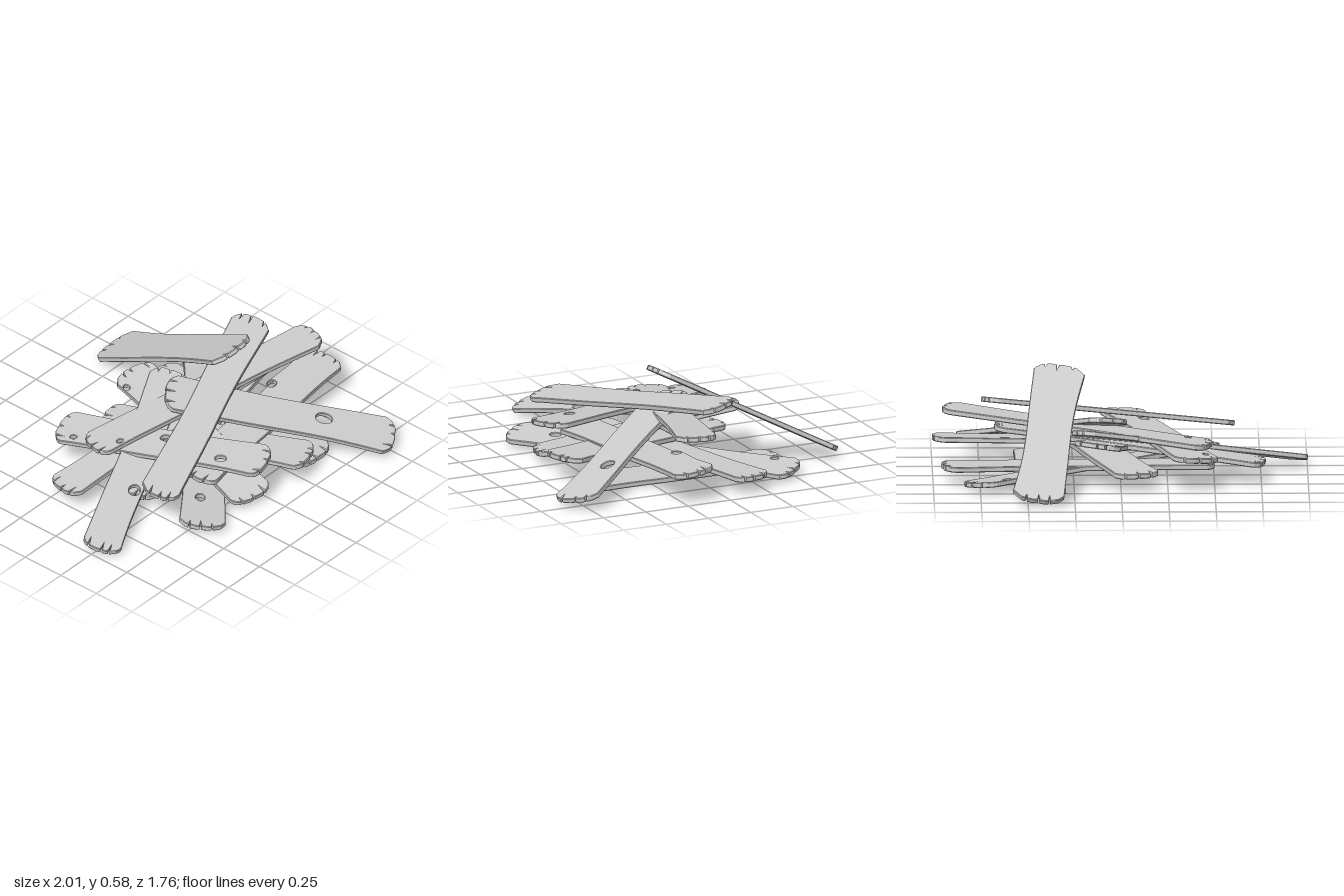
import * as THREE from 'three';

const THICK = 0.028;

// Small seeded generator for the hand-cut irregularities
function seeded(seed) {
  let s = seed * 7919 + 17;
  return () => (s = (s * 16807) % 2147483647) / 2147483647;
}

// Plank outline: wavy long edges, rounded ends split by narrow cracks
function plankShape(length, width, rand) {
  const points = [];
  const half = length / 2;
  const phase = rand() * 6;
  const edge = (u, side) => side * (width / 2) *
    (0.88 + 0.12 * Math.pow(Math.abs(u / half), 3) + 0.035 * Math.sin(u * 7 + phase + side));
  for (const dir of [1, -1]) {
    // long edge
    for (let i = 0; i <= 16; i++) {
      const u = dir * (half - 0.06) * (-1 + i / 8);
      points.push(new THREE.Vector2(u, edge(u, -dir)));
    }
    // end with cracks
    const tip = (k) => half - 0.06 * Math.pow(Math.abs(k), 4);
    const h = Math.abs(edge(half - 0.06, 1));
    const add = (k, inset) =>
      points.push(new THREE.Vector2(dir * (tip(k) - inset), dir * k * h));
    add(-0.93, 0);
    for (const c of [-0.55, 0, 0.52]) {
      const k = c + (rand() - 0.5) * 0.2;
      const depth = 0.025 + rand() * 0.035;
      add(k - 0.2, 0);
      add(k - 0.04, 0.003);
      add(k + (rand() - 0.5) * 0.08, depth);
      add(k + 0.04, 0.003);
    }
    add(0.8, 0);
    add(0.93, 0);
  }
  return new THREE.Shape(points);
}

// Plank laid between two end points; holes are [x, z, radius] seen from above
function makePlank({ name, a, b, w, roll = 0, holes = [] }, index) {
  const A = new THREE.Vector3(...a);
  const B = new THREE.Vector3(...b);
  const along = B.clone().sub(A);
  const length = along.length();
  along.normalize();
  const across = new THREE.Vector3(0, 1, 0).cross(along).normalize()
    .applyAxisAngle(along, roll);
  const normal = along.clone().cross(across);

  const shape = plankShape(length, w, seeded(index + 1));
  const middle = A.clone().add(B).multiplyScalar(0.5);
  const flat = new THREE.Vector2(along.x, along.z);
  const run = flat.length();
  flat.normalize();
  for (const [x, z, r] of holes) {
    const dx = x - middle.x;
    const dz = z - middle.z;
    const u = (dx * flat.x + dz * flat.y) / run;
    const v = dx * flat.y - dz * flat.x;
    const hole = new THREE.Path();
    hole.absellipse(u, v, r * 1.25, r, 0, Math.PI * 2, true);
    shape.holes.push(hole);
  }

  const geometry = new THREE.ExtrudeGeometry(shape, {
    depth: THICK - 0.008, bevelEnabled: true, bevelThickness: 0.004,
    bevelSize: 0.003, bevelOffset: -0.003, bevelSegments: 1, curveSegments: 10,
  });
  geometry.translate(0, 0, -(THICK - 0.008) / 2);
  const material = new THREE.MeshStandardMaterial({ color: 0xcccccc, flatShading: true });
  const mesh = new THREE.Mesh(geometry, material);
  mesh.name = name;
  mesh.quaternion.setFromRotationMatrix(new THREE.Matrix4().makeBasis(along, across, normal));
  mesh.position.copy(middle);
  return mesh;
}

const PLANKS = [
  // lowest layer
  { name: 'basePlank', a: [0.44, 0.014, -0.56], b: [0.43, 0.014, 0.62], w: 0.29 },
  { name: 'lowDiagonalPlank', a: [-0.49, 0.05, 0.59], b: [0.79, 0.045, -0.49], w: 0.25, roll: 0.12,
    holes: [[0.61, -0.45, 0.018], [-0.3, 0.41, 0.025]] },
  { name: 'lowCrossPlank', a: [-0.5, 0.04, 0.11], b: [0.95, 0.085, -0.18], w: 0.22 },
  // middle layers
  { name: 'leftBackPlank', a: [-0.77, 0.1, -0.17], b: [0.67, 0.27, 0.03], w: 0.22 },
  { name: 'frontBackPlank', a: [-0.1, 0.08, -0.44], b: [0.29, 0.13, 0.68], w: 0.26,
    holes: [[0.09, 0.25, 0.025]] },
  { name: 'risingBackPlank', a: [-0.1, 0.05, 0.63], b: [0.14, 0.25, -0.46], w: 0.26, roll: -0.1,
    holes: [[0.02, -0.38, 0.016]] },
  { name: 'rightPlank', a: [-0.25, 0.12, 0.32], b: [1.0, 0.17, 0.19], w: 0.25, roll: 0.08,
    holes: [[0.61, 0.13, 0.024]] },
  { name: 'leftPlank', a: [-0.985, 0.035, 0.295], b: [0.24, 0.28, -0.25], w: 0.22, roll: 0.18,
    holes: [[-0.54, 0.155, 0.03]] },
  { name: 'steepCrossPlank', a: [-0.42, 0.17, -0.48], b: [0.0, 0.23, 0.63], w: 0.26, roll: 0.08,
    holes: [[-0.45, -0.35, 0.015], [-0.17, 0.06, 0.023], [-0.13, 0.41, 0.025]] },
  // upper layers
  { name: 'upperCrossPlank', a: [-0.48, 0.2, -0.2], b: [0.94, 0.34, 0.16], w: 0.22,
    holes: [[-0.36, -0.1, 0.015]] },
  { name: 'frontLeaningPlank', a: [0.03, 0.32, -0.12], b: [0.8, 0.05, 0.835], w: 0.26, roll: 0.18,
    holes: [[0.58, 0.52, 0.036]] },
  { name: 'longTopPlank', a: [-0.6, 0.21, 0.37], b: [0.73, 0.435, -0.1], w: 0.22, roll: 0.15 },
  { name: 'backLeaningPlank', a: [0.45, 0.03, -0.87], b: [0.32, 0.565, 0.14], w: 0.28, roll: 0.14 },
];

export function createModel() {
  const pile = new THREE.Group();
  pile.name = 'plankPile';
  PLANKS.forEach((plank, i) => pile.add(makePlank(plank, i)));
  return pile;
}
